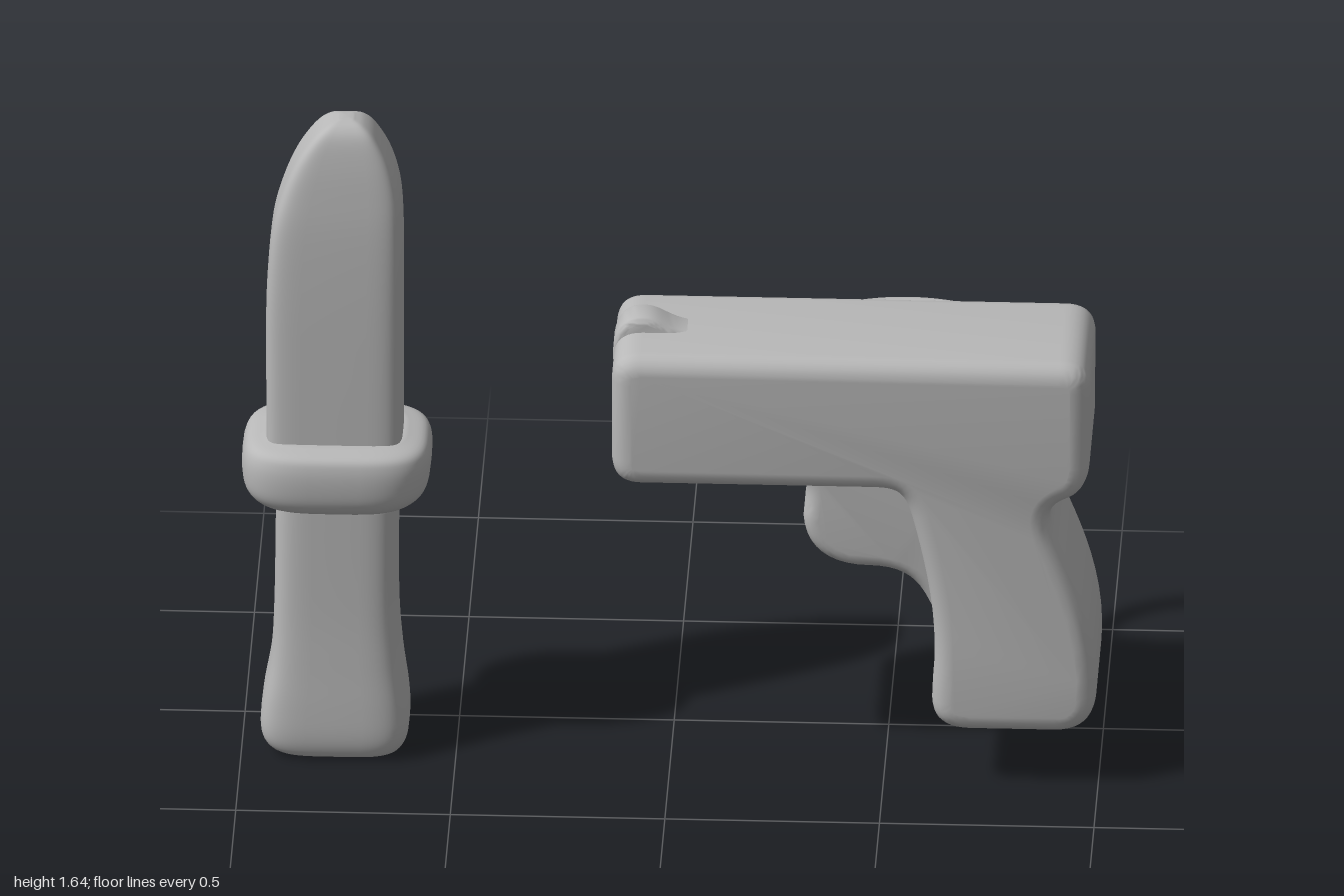
import * as THREE from 'three';
import { toCreasedNormals } from 'three/addons/utils/BufferGeometryUtils.js';

const grey = new THREE.MeshStandardMaterial({ color: 0xb8b8b8 });
grey.name = 'grey plastic';

function part(name, geometry, parent) {
  const mesh = new THREE.Mesh(geometry, grey);
  mesh.name = name;
  parent.add(mesh);
  return mesh;
}

// Side outline extruded between z0 and z1 with rounded edges
function slab(shape, z0, z1, r) {
  const g = new THREE.ExtrudeGeometry(shape, {
    depth: z1 - z0 - 2 * r, bevelEnabled: true, bevelThickness: r, bevelSize: r,
    bevelOffset: -r, bevelSegments: 5, curveSegments: 10,
  });
  g.translate(0, 0, z0 + r);
  return toCreasedNormals(g, 0.7);
}

// Loft of squarish rings; rows are [y, x0, x1, z0, z1]
function loft(rows, power, steps) {
  const curve = (ix, iz) => new THREE.CatmullRomCurve3(
    rows.map((r) => new THREE.Vector3(r[ix], r[0], r[iz])), false, 'catmullrom', 0.5);
  const low = curve(1, 3), high = curve(2, 4);
  const n = 56, pos = [], idx = [];
  const bend = (v) => Math.sign(v) * Math.abs(v) ** (2 / power);
  const ring = (t, scale) => {
    const a = low.getPoint(t), b = high.getPoint(t);
    for (let i = 0; i < n; i++) {
      const w = (i / n) * Math.PI * 2;
      pos.push((a.x + b.x) / 2 + (b.x - a.x) / 2 * bend(Math.cos(w)) * scale, a.y,
        (a.z + b.z) / 2 + (b.z - a.z) / 2 * bend(Math.sin(w)) * scale);
    }
  };
  ring(0, 0.001);
  for (let k = 0; k <= steps; k++) ring(k / steps, 1);
  ring(1, 0.001);
  for (let k = 0; k < steps + 2; k++) {
    for (let i = 0; i < n; i++) {
      const p = k * n + i, q = k * n + (i + 1) % n;
      idx.push(p, p + n, q, q, p + n, q + n);
    }
  }
  const g = new THREE.BufferGeometry();
  g.setAttribute('position', new THREE.Float32BufferAttribute(pos, 3));
  g.setIndex(idx);
  g.computeVertexNormals();
  return g;
}

function createKnife() {
  const knife = new THREE.Group();
  knife.name = 'toyKnife';
  part('blade', loft([
    [0.78, -0.942, -0.625, 0.033, 0.237], [1.0, -0.943, -0.625, 0.036, 0.236],
    [1.2, -0.942, -0.625, 0.04, 0.234], [1.36, -0.93, -0.626, 0.046, 0.229],
    [1.46, -0.905, -0.633, 0.055, 0.221], [1.54, -0.872, -0.655, 0.064, 0.211],
    [1.6, -0.832, -0.688, 0.076, 0.198], [1.628, -0.8, -0.715, 0.093, 0.18],
    [1.64, -0.772, -0.742, 0.12, 0.155],
  ], 6, 48), knife);
  part('guard', loft([
    [0.65, -0.92, -0.64, 0.03, 0.24], [0.665, -0.965, -0.6, -0.01, 0.275],
    [0.695, -0.992, -0.57, -0.03, 0.295], [0.74, -1, -0.56, -0.036, 0.302],
    [0.785, -0.997, -0.56, -0.034, 0.3], [0.812, -0.98, -0.575, -0.018, 0.287],
    [0.825, -0.94, -0.62, 0.025, 0.245],
  ], 3.4, 30), knife);
  part('handle', loft([
    [0, -0.86, -0.7, 0.07, 0.21], [0.008, -0.915, -0.645, 0.045, 0.235],
    [0.03, -0.945, -0.62, 0.031, 0.248], [0.07, -0.956, -0.61, 0.025, 0.254],
    [0.14, -0.95, -0.613, 0.027, 0.253], [0.25, -0.932, -0.627, 0.032, 0.248],
    [0.4, -0.924, -0.636, 0.036, 0.244], [0.7, -0.92, -0.635, 0.036, 0.244],
  ], 4.5, 40), knife);
  return knife;
}

function createPistol() {
  const pistol = new THREE.Group();
  pistol.name = 'toyPistol';

  // Slide and grip in one rounded outline
  const body = new THREE.Shape();
  body.moveTo(-0.065, 0.77);
  body.lineTo(0.48, 0.77);
  body.bezierCurveTo(0.54, 0.77, 0.55, 0.75, 0.565, 0.7);
  body.bezierCurveTo(0.6, 0.56, 0.63, 0.42, 0.615, 0.27);
  body.lineTo(0.613, 0.22);
  body.quadraticCurveTo(0.613, 0.145, 0.7, 0.143);
  body.lineTo(0.9, 0.143);
  body.quadraticCurveTo(0.99, 0.145, 0.996, 0.24);
  body.bezierCurveTo(1.005, 0.4, 0.955, 0.52, 0.905, 0.64);
  body.bezierCurveTo(0.88, 0.7, 0.88, 0.73, 0.925, 0.75);
  body.quadraticCurveTo(0.975, 0.77, 0.98, 0.84);
  body.lineTo(0.982, 1.04);
  body.quadraticCurveTo(0.982, 1.108, 0.91, 1.108);
  body.lineTo(-0.065, 1.108);
  body.quadraticCurveTo(-0.133, 1.108, -0.133, 1.04);
  body.lineTo(-0.133, 0.84);
  body.quadraticCurveTo(-0.133, 0.77, -0.065, 0.77);
  part('slideAndGrip', slab(body, -0.046, 0.32, 0.045), pistol);

  // Solid trigger guard in front of the grip
  const guard = new THREE.Shape();
  guard.moveTo(0.26, 0.82);
  guard.lineTo(0.28, 0.775);
  guard.bezierCurveTo(0.335, 0.75, 0.315, 0.7, 0.31, 0.65);
  guard.bezierCurveTo(0.315, 0.57, 0.37, 0.525, 0.46, 0.525);
  guard.bezierCurveTo(0.55, 0.525, 0.58, 0.49, 0.61, 0.42);
  guard.lineTo(0.7, 0.42);
  guard.lineTo(0.7, 0.82);
  part('triggerGuard', slab(guard, 0.04, 0.235, 0.035), pistol);

  // Front sight hump
  const sight = new THREE.Shape();
  sight.moveTo(-0.135, 1.03);
  sight.bezierCurveTo(-0.14, 1.11, -0.11, 1.143, -0.065, 1.143);
  sight.bezierCurveTo(-0.02, 1.143, -0.01, 1.11, 0.06, 1.105);
  sight.lineTo(0.06, 1.03);
  part('frontSight', slab(sight, 0.092, 0.18, 0.016), pistol);

  // Carrying loop on the back with its two round mounts
  for (const x of [0.26, 0.81]) {
    const profile = [[0, -0.02], [0.073, -0.02], [0.073, 0.026], [0.068, 0.035], [0.058, 0.038], [0, 0.038]];
    const mount = part('loopMount',
      toCreasedNormals(new THREE.LatheGeometry(profile.map((p) => new THREE.Vector2(...p)), 32), 0.7), pistol);
    mount.rotation.x = -Math.PI / 2;
    mount.position.set(x, 0.94, -0.046);
  }
  const arc = [];
  for (let i = 0; i <= 16; i++) {
    const a = (i / 16) * Math.PI;
    arc.push(new THREE.Vector3(0.535 - 0.275 * Math.cos(a), 0.94, -0.075 - 0.222 * Math.sin(a)));
  }
  part('carryLoop', new THREE.TubeGeometry(new THREE.CatmullRomCurve3(arc), 48, 0.025, 16), pistol);
  return pistol;
}

export function createModel() {
  const model = new THREE.Group();
  model.name = 'toyWeapons';
  model.add(createKnife(), createPistol());
  return model;
}
